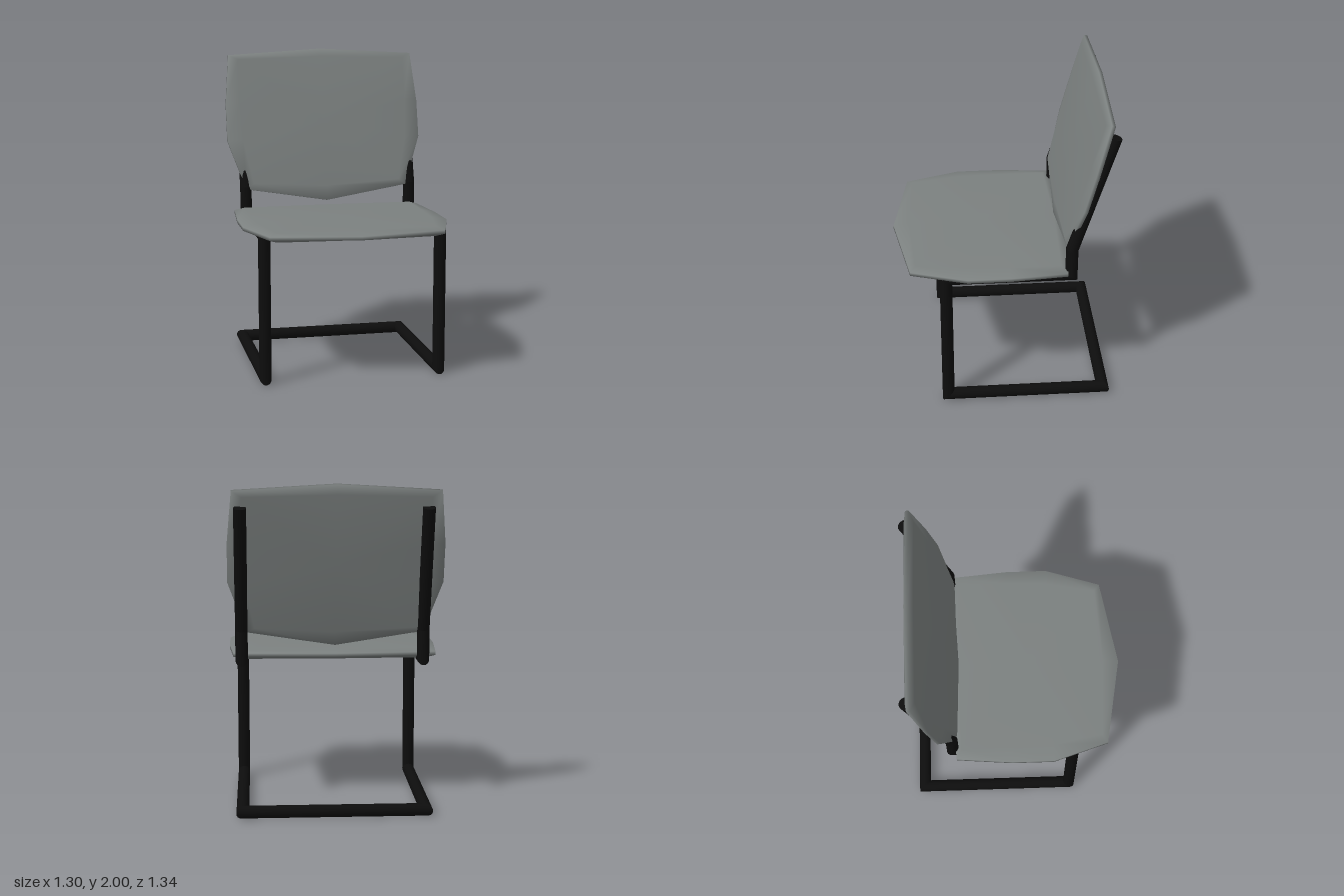
import * as THREE from 'three';

const fabric = new THREE.MeshStandardMaterial({ color: 0x7c8180 });
fabric.name = 'grey fabric';
const metal = new THREE.MeshStandardMaterial({ color: 0x0d0d0d });
metal.name = 'black metal';

// Half outlines of the cushion as [x, z], from the front centre to the back centre
const RIM = [[0, 0.67], [0.54, 0.575], [0.65, 0.23], [0.65, -0.03], [0.62, -0.38], [0, -0.42]];
const FACE = [[0, 0.57], [0.49, 0.54], [0.55, 0.23], [0.56, -0.03], [0.56, -0.345], [0, -0.36]];

// Full loop from a half outline, mirrored in x
function loop(half) {
  const mirrored = half.slice(1, -1).reverse().map(([x, z]) => [-x, z]);
  return [...half, ...mirrored];
}

// Thin pad: face, bevel, narrow rim, bevel, face
function cushionGeometry() {
  const rings = [[FACE, 0.03], [RIM, 0.011], [RIM, -0.011], [FACE, -0.03]];
  const n = loop(RIM).length;
  const pos = [];
  const index = [];
  for (const [half, y] of rings) {
    for (const [x, z] of loop(half)) pos.push(x, y, z);
  }
  const top = rings.length * n;
  const bottom = top + 1;
  pos.push(0, 0.033, 0.1, 0, -0.033, 0.1);
  const last = (rings.length - 1) * n;
  for (let i = 0; i < n; i++) {
    const j = (i + 1) % n;
    index.push(top, i, j, bottom, last + j, last + i);
    for (let r = 0; r < last; r += n) {
      index.push(r + i, r + n + i, r + n + j, r + i, r + n + j, r + j);
    }
  }
  const geo = new THREE.BufferGeometry();
  geo.setAttribute('position', new THREE.Float32BufferAttribute(pos, 3));
  geo.setIndex(index);
  geo.computeVertexNormals();
  return geo;
}

// Round bar from a to b whose ends are cut along the planes with normals na and nb
function mitredBar(a, b, na, nb, radius, open) {
  const dir = b.clone().sub(a);
  const length = dir.length();
  dir.normalize();
  const geo = new THREE.CylinderGeometry(radius, radius, length, 20, 1, open);
  const turn = new THREE.Quaternion().setFromUnitVectors(new THREE.Vector3(0, 1, 0), dir);
  geo.applyQuaternion(turn);
  const mid = a.clone().add(b).multiplyScalar(0.5);
  geo.translate(mid.x, mid.y, mid.z);
  const p = geo.attributes.position;
  const v = new THREE.Vector3();
  for (let i = 0; i < p.count; i++) {
    v.fromBufferAttribute(p, i);
    const atEnd = v.clone().sub(mid).dot(dir) > 0;
    const normal = atEnd ? nb : na;
    const offset = v.clone().sub(atEnd ? b : a);
    v.addScaledVector(dir, -offset.dot(normal) / dir.dot(normal));
    p.setXYZ(i, v.x, v.y, v.z);
  }
  return geo;
}

// One continuous bent tube: back post, seat rail, leg, floor rail, crossbar and back up
function buildFrame() {
  const radius = 0.038;
  const side = [[1.865, -0.635], [1.11, -0.405], [0.93, -0.405], [0.93, 0.36], [0.038, 0.36], [0.038, -0.632]];
  const at = (x) => side.map(([y, z]) => new THREE.Vector3(x, y, z));
  const path = [...at(-0.54), ...at(0.57).reverse()];
  const dirs = path.slice(1).map((p, i) => p.clone().sub(path[i]).normalize());
  const cuts = path.map((_, i) => {
    const before = dirs[Math.max(i - 1, 0)];
    const after = dirs[Math.min(i, dirs.length - 1)];
    return before.clone().add(after).normalize();
  });
  const half = ['BackPost', 'PostFoot', 'SeatRail', 'FrontLeg', 'FloorRail'];
  const names = [
    ...half.map((s) => 'right' + s),
    'rearCrossbar',
    ...half.map((s) => 'left' + s).reverse(),
  ];
  const frame = new THREE.Group();
  frame.name = 'frame';
  dirs.forEach((_, i) => {
    const open = i > 0 && i < dirs.length - 1;
    const geo = mitredBar(path[i], path[i + 1], cuts[i], cuts[i + 1], radius, open);
    const bar = new THREE.Mesh(geo, metal);
    bar.name = names[i];
    frame.add(bar);
  });
  return frame;
}

export function createModel() {
  const model = new THREE.Group();
  model.name = 'cantileverChair';
  model.add(buildFrame());

  const geo = cushionGeometry();
  const seat = new THREE.Mesh(geo, fabric);
  seat.name = 'seat';
  seat.position.set(0, 0.955, 0);
  model.add(seat);

  // The backrest is the same pad, a little shorter, stood up and leaning back
  const backrest = new THREE.Mesh(geo, fabric);
  backrest.name = 'backrest';
  backrest.scale.z = 0.935;
  backrest.rotation.x = THREE.MathUtils.degToRad(75.5);
  backrest.position.set(0, 1.621, -0.522);
  model.add(backrest);

  return model;
}
